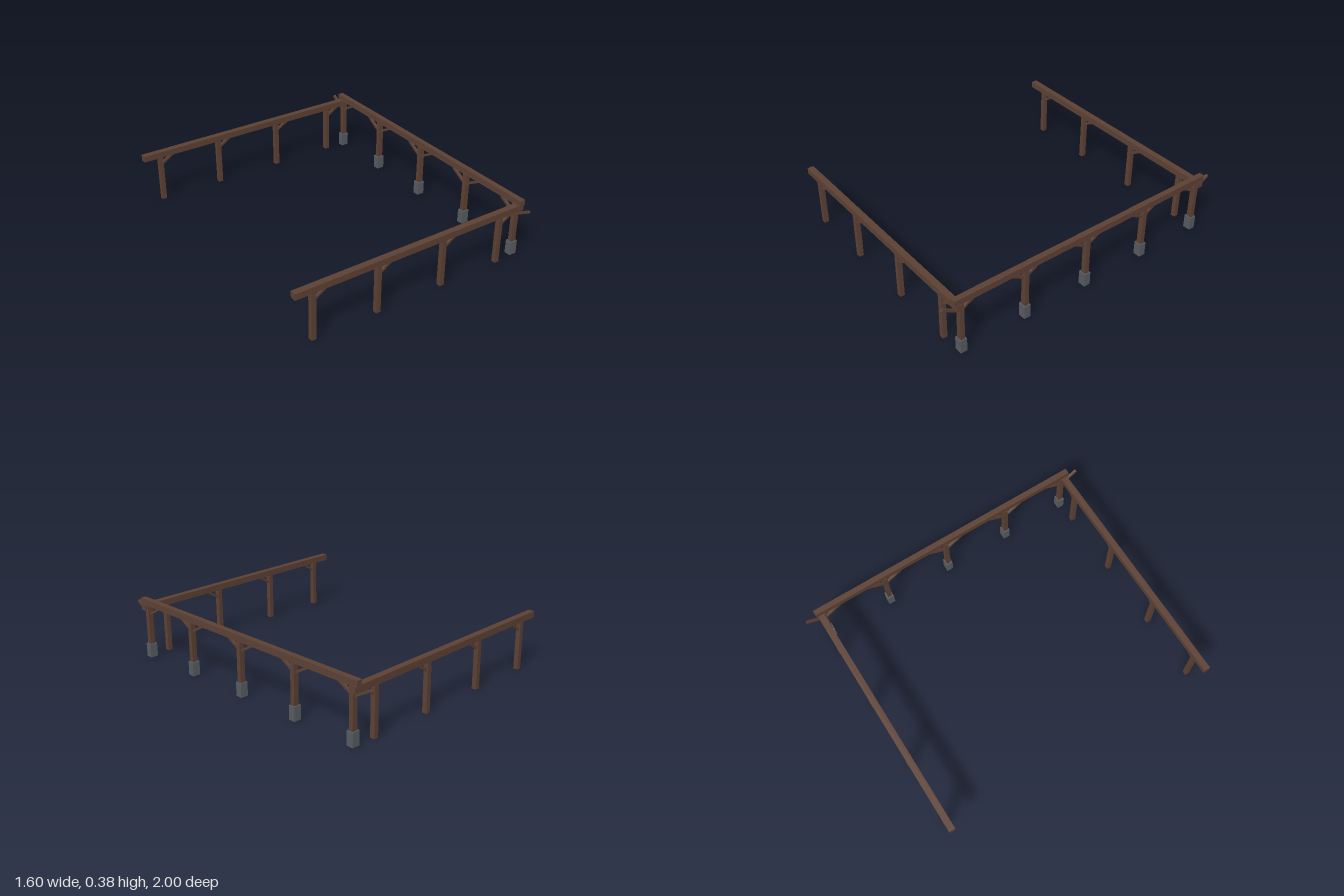
import * as THREE from 'three';

export function createModel() {
  const model = new THREE.Group();
  model.name = 'postAndBeamFrame';
  const wood = new THREE.MeshStandardMaterial({ color: 0x5c4033 });
  wood.name = 'dark timber';
  const stone = new THREE.MeshStandardMaterial({ color: 0x565b60 });
  stone.name = 'grey stone';

  function box(name, material, size, position, parent) {
    const mesh = new THREE.Mesh(new THREE.BoxGeometry(...size), material);
    mesh.name = name;
    mesh.position.set(...position);
    parent.add(mesh);
    return mesh;
  }

  // Square strut running between two points
  function brace(from, to, width, parent) {
    const a = new THREE.Vector3(...from);
    const b = new THREE.Vector3(...to);
    const mid = a.clone().add(b).multiplyScalar(0.5);
    const mesh = box('brace', wood, [width, 0.015, a.distanceTo(b)], mid.toArray(), parent);
    mesh.lookAt(b);
  }

  // Two long side rows: beam, four posts, one brace per post
  for (const side of [1, -1]) {
    const row = new THREE.Group();
    row.name = side > 0 ? 'frontRow' : 'backRow';
    const z = 0.9 * side;
    box('sideBeam', wood, [1.6, 0.04, 0.04], [0, 0.33, z], row);
    for (const x of [-0.682, -0.255, 0.202, 0.63]) {
      box('sidePost', wood, [0.03, 0.31, 0.03], [x, 0.155, z], row);
      brace([x + 0.008, 0.257, z], [x + 0.092, 0.311, z], 0.015, row);
    }
    model.add(row);
  }

  // Raised end row: beam, five posts on stone footings, paired braces
  const endRow = new THREE.Group();
  endRow.name = 'endRow';
  box('endBeam', wood, [0.036, 0.04, 1.86], [0.778, 0.365, 0], endRow);
  for (const z of [-0.882, -0.446, 0, 0.446, 0.882]) {
    box('endPost', wood, [0.034, 0.27, 0.028], [0.773, 0.215, z], endRow);
    box('footing', stone, [0.05, 0.088, 0.043], [0.772, 0.044, z], endRow);
    for (const dir of [1, -1]) {
      brace([0.768, 0.283, z + 0.008 * dir], [0.768, 0.345, z + 0.114 * dir], 0.016, endRow);
    }
  }
  model.add(endRow);

  return model;
}
